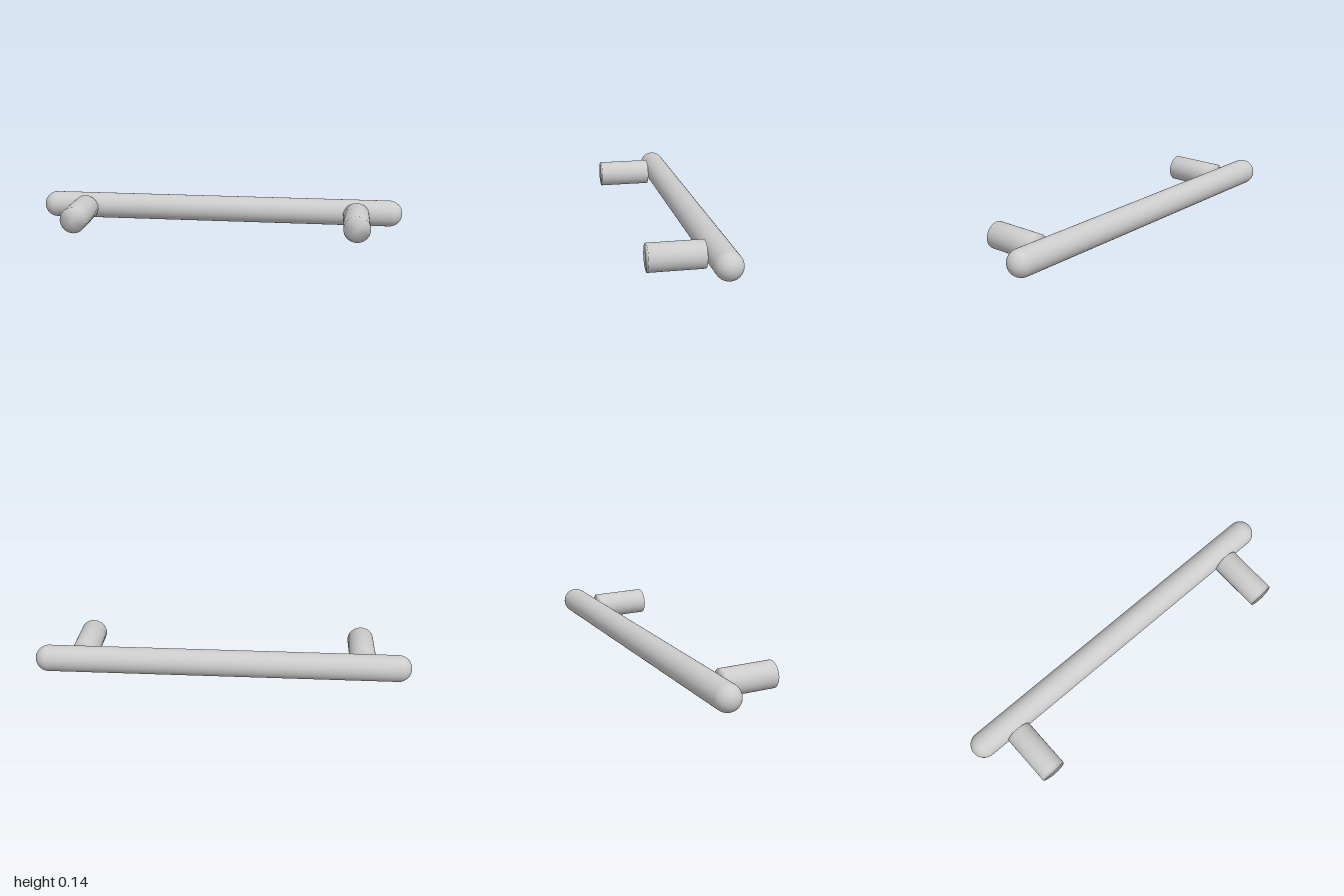
import * as THREE from 'three';
import { mergeVertices } from 'three/addons/utils/BufferGeometryUtils.js';

const R = 0.0705;           // radius shared by bar, end caps and posts
const BAR_Z = -2 * R;       // bar axis
const BAR_HALF = 1 - R;     // half length of the straight bar
const POST_X = 0.75;
const POST_LENGTH = 4 * R;

// Solid cylinder whose shading runs smoothly over the rims
function smoothCylinder(length) {
  const g = new THREE.CylinderGeometry(R, R, length, 48);
  g.deleteAttribute('normal');
  g.deleteAttribute('uv');
  const merged = mergeVertices(g, 1e-5);
  merged.computeVertexNormals();
  return merged;
}

export function createModel() {
  const model = new THREE.Group();
  model.name = 'barHandle';
  const material = new THREE.MeshStandardMaterial({ color: 0xcccccc });

  const add = (name, geometry, x, z) => {
    const mesh = new THREE.Mesh(geometry, material);
    mesh.name = name;
    mesh.position.set(x, R, z);
    model.add(mesh);
    return mesh;
  };

  // Grip bar running along x
  add('gripBar', smoothCylinder(2 * BAR_HALF), 0, BAR_Z).rotation.z = Math.PI / 2;

  const capGeometry = new THREE.SphereGeometry(R, 48, 24);
  const postGeometry = smoothCylinder(POST_LENGTH);

  for (const [side, s] of [['left', 1], ['right', -1]]) {
    // Rounded bar end
    add(side + 'EndCap', capGeometry, s * BAR_HALF, BAR_Z);
    // Mounting post reaching forward from the bar
    add(side + 'Post', postGeometry, s * POST_X, -R + POST_LENGTH / 2).rotation.x = Math.PI / 2;
  }

  return model;
}
